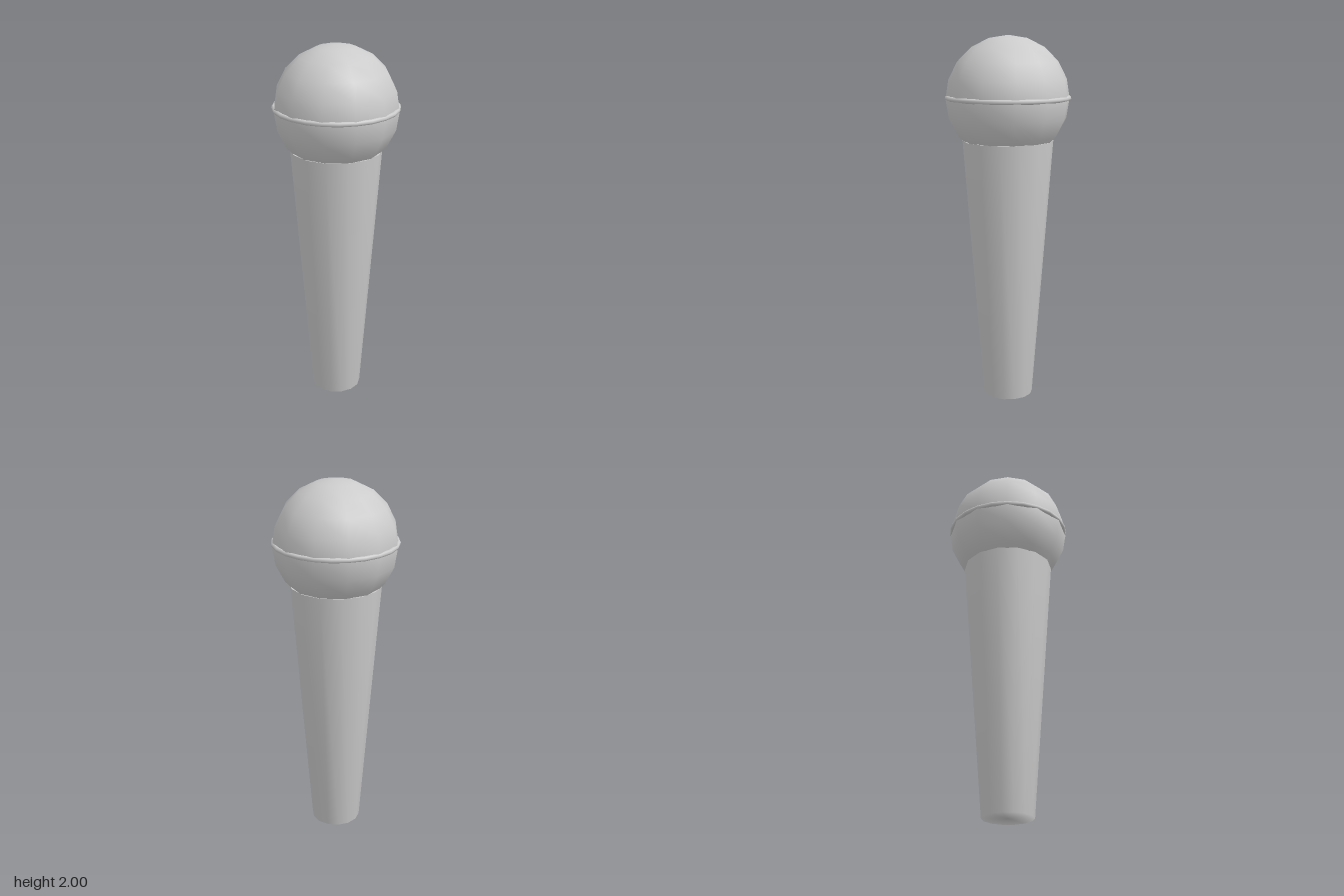
import * as THREE from 'three';

export function createModel() {
  const model = new THREE.Group();
  const material = new THREE.MeshStandardMaterial({ color: 0xcccccc });
  const add = (name, geometry, y) => {
    const mesh = new THREE.Mesh(geometry, material);
    mesh.name = name;
    mesh.position.y = y;
    model.add(mesh);
    return mesh;
  };

  // Tapered handle, closed at the bottom, its top tucked against the head
  const profile = [[0, 0], [0.137, 0], [0.246, 1.44], [0, 1.44]].map(([r, y]) => new THREE.Vector2(r, y));
  const handle = new THREE.LatheGeometry(profile.slice(0, 3), 14);
  add('handle', handle, 0);
  add('handleTop', new THREE.CircleGeometry(0.246, 14, Math.PI / 2).rotateX(-Math.PI / 2), 1.44);

  // Ball-shaped grille
  add('head', new THREE.SphereGeometry(0.335, 12, 10), 1.665);

  // Thin band around the widest part of the head
  add('band', new THREE.TorusGeometry(0.326, 0.013, 8, 24).rotateX(Math.PI / 2), 1.671);

  return model;
}
